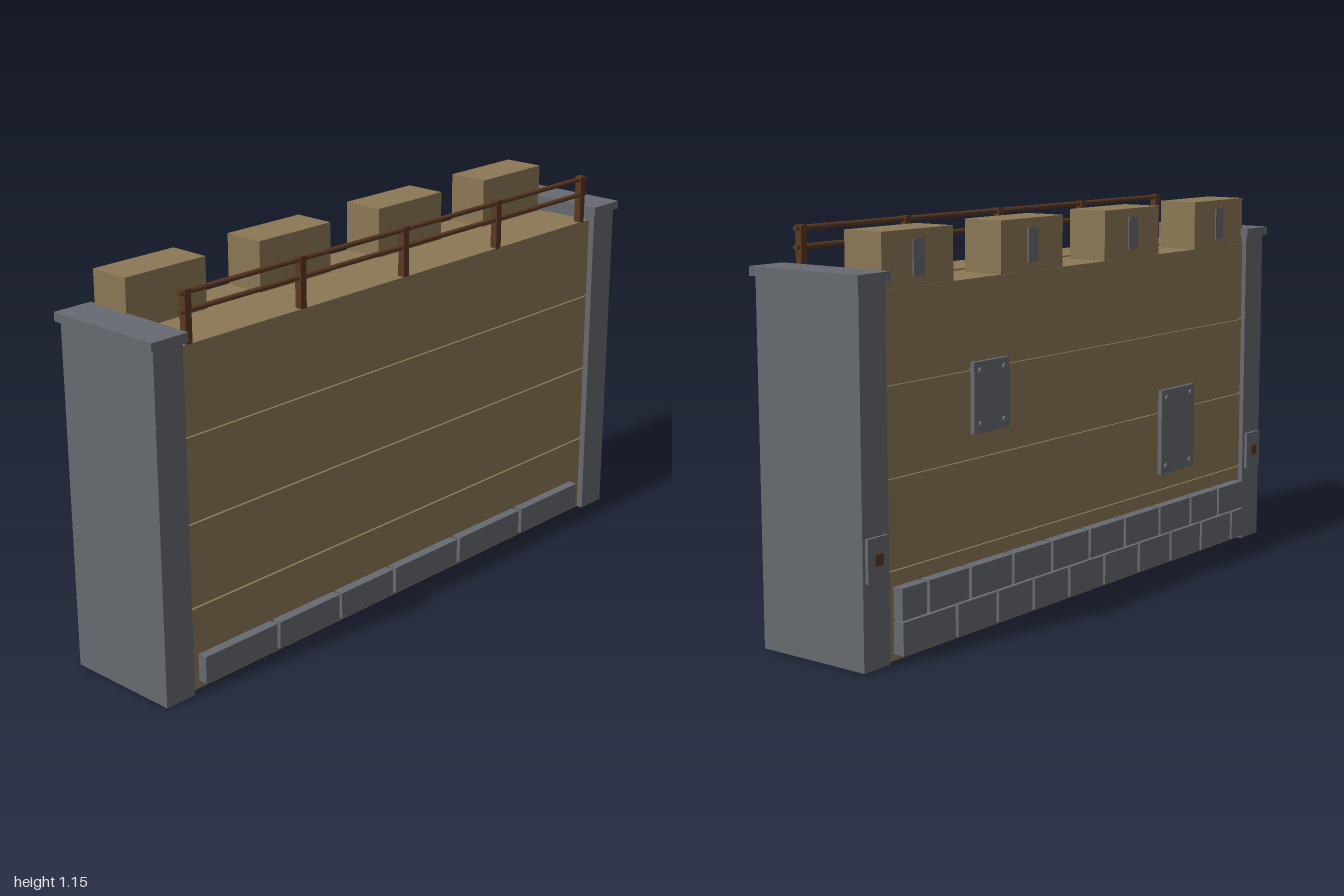
import * as THREE from 'three';

const flat = (name, color) => {
  const m = new THREE.MeshStandardMaterial({ color });
  m.name = name;
  return m;
};

export function createModel() {
  const root = new THREE.Group();
  root.name = 'fortifiedWall';
  const sand = flat('sandstone', 0x8b7855);
  const stone = flat('greyStone', 0x666a70);
  const wood = flat('darkWood', 0x5a3822);

  const group = (name) => {
    const g = new THREE.Group();
    g.name = name;
    root.add(g);
    return g;
  };
  // Box given by its lower and upper limits on each axis
  const box = (parent, name, mat, x0, x1, y0, y1, z0, z1) => {
    const m = new THREE.Mesh(new THREE.BoxGeometry(x1 - x0, y1 - y0, z1 - z0), mat);
    m.name = name;
    m.position.set((x0 + x1) / 2, (y0 + y1) / 2, (z0 + z1) / 2);
    parent.add(m);
    return m;
  };

  // Wall: four courses with narrow grooves around an inset core
  const wall = group('wall');
  box(wall, 'wallCore', sand, -0.885, 0.885, 0.01, 0.99, -0.157, 0.162);
  for (let i = 0; i < 4; i++) {
    box(wall, 'wallCourse', sand, -0.886, 0.886, i * 0.25 + (i ? 0.004 : 0), i * 0.25 + (i < 3 ? 0.246 : 0.25), -0.165, 0.17);
  }
  // Slightly raised walkway behind the battlements
  box(wall, 'walkway', sand, -0.88, 0.88, 0.995, 1.004, 0.01, 0.17);

  // Battlement blocks with a grey slit on the outer face
  const battlements = group('battlements');
  for (const x of [-0.74, -0.249, 0.246, 0.737]) {
    box(battlements, 'merlon', sand, x - 0.143, x + 0.143, 1, 1.15, -0.163, -0.033);
    box(battlements, 'merlonSlit', stone, x - 0.022, x + 0.022, 1.025, 1.125, -0.167, -0.16);
  }

  // End pillars, caps and riveted back plates
  for (const s of [-1, 1]) {
    const pillar = group(s > 0 ? 'leftPillar' : 'rightPillar');
    const at = (name, mat, cx, w, ...yz) => box(pillar, name, mat, s * cx - w / 2, s * cx + w / 2, ...yz);
    at('pillarShaft', stone, 0.936, 0.102, 0, 1.025, -0.18, 0.19);
    at('pillarCap', stone, 0.9375, 0.125, 1.024, 1.05, -0.19, 0.2);
    at('pillarPlate', stone, 0.937, 0.08, 0.24, 0.36, -0.19, -0.178);
    at('pillarRivet', wood, 0.937, 0.032, 0.284, 0.316, -0.194, -0.188);
  }

  // Base stones on the front
  const base = group('baseStones');
  const front = [[-0.85, -0.575], [-0.563, -0.318], [-0.307, -0.083], [-0.07, 0.215], [0.23, 0.525], [0.54, 0.835]];
  for (const [a, b] of front) box(base, 'frontStone', stone, a, b, 0.024, 0.106, 0.165, 0.2);

  // Two staggered rows of base stones on the back
  const rows = [
    [0.018, 0.11, -0.2, [0.86, 0.633, 0.455, 0.289, 0.117, -0.061, -0.246, -0.424, -0.602, -0.787, -0.865]],
    [0.115, 0.204, -0.198, [0.86, 0.75, 0.572, 0.381, 0.197, 0.012, -0.172, -0.363, -0.541, -0.707, -0.865]],
  ];
  for (const [y0, y1, z, xs] of rows) {
    for (let i = 0; i < xs.length - 1; i++) {
      box(base, 'backStone', stone, xs[i + 1] + 0.006, xs[i] - 0.006, y0, y1, z, -0.16);
    }
  }

  // Bolted repair plates on the back
  const plates = group('repairPlates');
  for (const [x, y, w, h] of [[0.45, 0.67, 0.155, 0.2], [-0.49, 0.435, 0.185, 0.27]]) {
    box(plates, 'repairPlate', stone, x - w / 2, x + w / 2, y - h / 2, y + h / 2, -0.179, -0.16);
    for (const sx of [-1, 1]) for (const sy of [-1, 1]) {
      const bolt = new THREE.Mesh(new THREE.CylinderGeometry(0.009, 0.009, 0.01, 8), stone);
      bolt.name = 'plateBolt';
      bolt.rotation.x = Math.PI / 2;
      bolt.position.set(x + sx * (w / 2 - 0.025), y + sy * (h / 2 - 0.025), -0.181);
      plates.add(bolt);
    }
  }

  // Wooden railing along the front of the walkway
  const railing = group('railing');
  for (let i = -2; i <= 2; i++) {
    const x = i * 0.4225;
    box(railing, 'railPost', wood, x - 0.011, x + 0.011, 1, 1.152, 0.148, 0.17);
  }
  for (const y of [1.143, 1.092]) {
    const rail = new THREE.Mesh(new THREE.CylinderGeometry(0.008, 0.008, 1.734, 8), wood);
    rail.name = 'rail';
    rail.rotation.z = Math.PI / 2;
    rail.position.set(0, y, 0.16);
    railing.add(rail);
  }
  return root;
}
